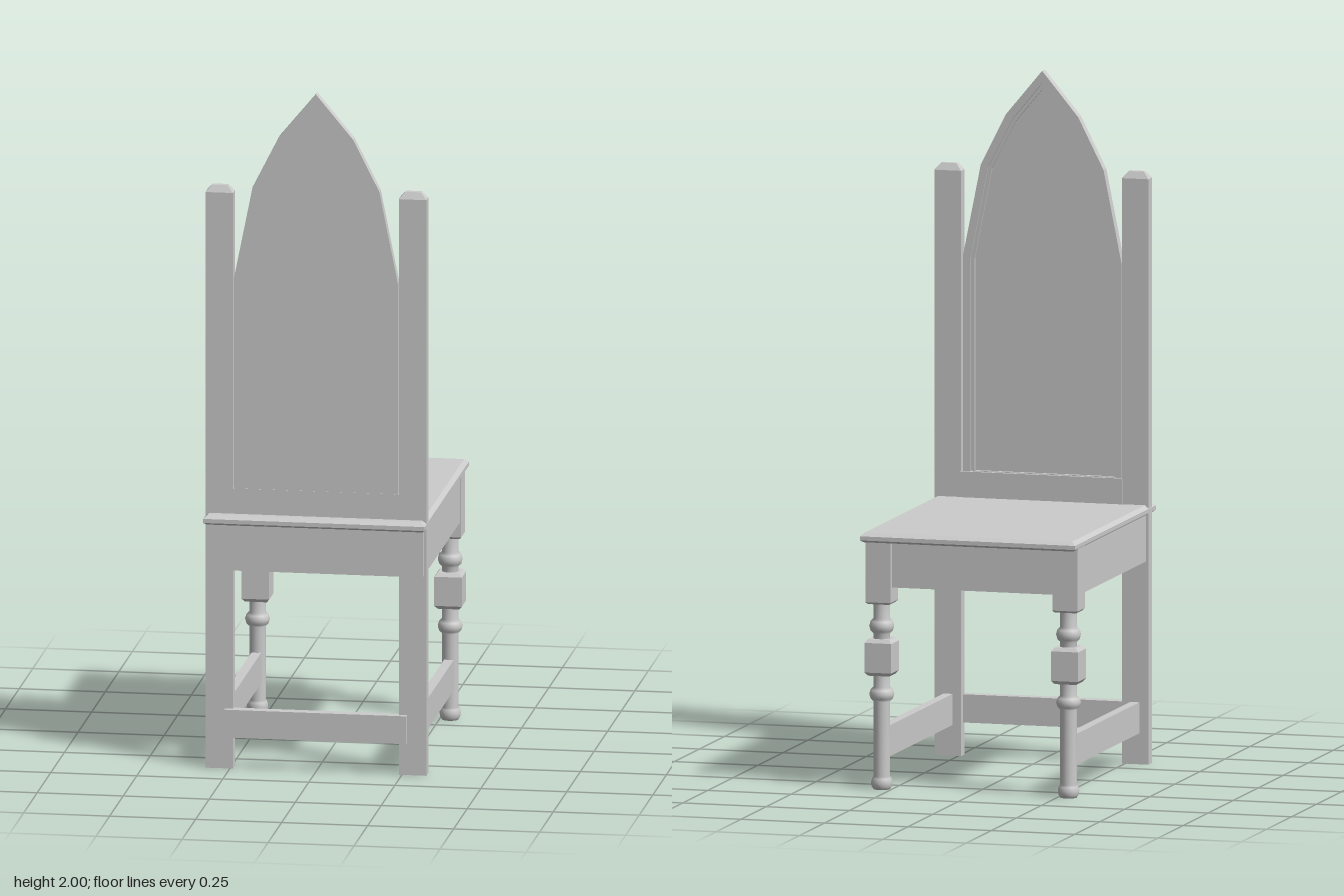
import * as THREE from 'three';
import { ConvexGeometry } from 'three/addons/geometries/ConvexGeometry.js';

const material = new THREE.MeshStandardMaterial({ color: 0xcccccc });

function add(parent, name, geometry, x = 0, y = 0, z = 0) {
  const mesh = new THREE.Mesh(geometry, material);
  mesh.name = name;
  mesh.position.set(x, y, z);
  parent.add(mesh);
  return mesh;
}

// Box given by its limits on each axis
function addBox(parent, name, [x0, x1], [y0, y1], [z0, z1]) {
  return add(parent, name, new THREE.BoxGeometry(x1 - x0, y1 - y0, z1 - z0),
    (x0 + x1) / 2, (y0 + y1) / 2, (z0 + z1) / 2);
}

// Chamfered solid from stacked rectangles: [y, half width, half depth]
function stackedBlock(levels) {
  const points = [];
  for (const [y, hx, hz] of levels)
    for (const sx of [-1, 1])
      for (const sz of [-1, 1]) points.push(new THREE.Vector3(sx * hx, y, sz * hz));
  return new ConvexGeometry(points);
}

// Pointed arch outline, inset by w from the outer edge
function archPoints(w, bottom) {
  const half = [
    [0.238 - w, bottom],
    [0.238 - w, 1.45 - 0.1 * w],
    [0.184 - 0.93 * w, 1.72 - 0.3 * w],
    [0.108 - 0.8 * w, 1.87 - 0.6 * w],
  ];
  const left = half.map(([x, y]) => [-x, y]).reverse();
  return [...half, [0, 2 - 1.55 * w], ...left].map(([x, y]) => new THREE.Vector2(x, y));
}

function archPlate(depth, holeInset) {
  const shape = new THREE.Shape(archPoints(0, 0.75));
  if (holeInset) shape.holes.push(new THREE.Path(archPoints(holeInset, 0.83)));
  return new THREE.ExtrudeGeometry(shape, { depth, bevelEnabled: false });
}

// Turned front leg, with square blocks at the top and in the middle
function frontLeg() {
  const leg = new THREE.Group();
  leg.name = 'frontLeg';
  const lower = [[0, 0], [0.024, 0], [0.029, 0.008], [0.031, 0.02], [0.028, 0.032], [0.024, 0.038],
    [0.024, 0.255], [0.032, 0.263], [0.036, 0.276], [0.032, 0.289], [0.024, 0.297], [0.024, 0.345]];
  const upper = [[0.024, 0.425], [0.024, 0.452], [0.032, 0.46], [0.036, 0.474], [0.032, 0.488],
    [0.024, 0.496], [0.024, 0.55]];
  const turn = (profile) => new THREE.LatheGeometry(profile.map(([r, y]) => new THREE.Vector2(r, y)), 20);
  add(leg, 'lowerShaft', turn(lower));
  add(leg, 'upperShaft', turn(upper));
  add(leg, 'middleBlock', stackedBlock([
    [0.332, 0.032, 0.032], [0.342, 0.04, 0.04], [0.428, 0.04, 0.04], [0.438, 0.032, 0.032]]));
  add(leg, 'topBlock', stackedBlock([
    [0.54, 0.032, 0.032], [0.546, 0.0375, 0.0375], [0.735, 0.0375, 0.0375]]));
  return leg;
}

export function createModel() {
  const chair = new THREE.Group();
  chair.name = 'chair';

  // Seat with a chamfered upper edge over a closed apron
  add(chair, 'seat', stackedBlock([
    [0.725, 0.314, 0.398], [0.731, 0.322, 0.406], [0.743, 0.322, 0.406], [0.753, 0.31, 0.394]]));
  addBox(chair, 'apron', [-0.314, 0.314], [0.59, 0.728], [-0.352, 0.39]);

  for (const side of [-1, 1]) {
    // Back post, running from the floor past the seat
    add(chair, 'backPost', stackedBlock([
      [0, 0.04, 0.018], [1.7, 0.04, 0.018], [1.72, 0.023, 0.008]]), side * 0.281, 0, 0.352);

    const leg = frontLeg();
    leg.position.set(side * 0.28, 0, -0.328);
    chair.add(leg);

    addBox(chair, 'sideStretcher', [side * 0.28 - 0.014, side * 0.28 + 0.014], [0.09, 0.18], [-0.325, 0.36]);
  }
  addBox(chair, 'backStretcher', [-0.265, 0.265], [0.095, 0.177], [0.355, 0.386]);

  // Pointed back: a plain panel with a stepped frame on the seat side
  add(chair, 'backPanel', archPlate(0.016), 0, 0, 0.353);
  add(chair, 'innerFrame', archPlate(0.006, 0.034), 0, 0, 0.347);
  add(chair, 'outerFrame', archPlate(0.006, 0.023), 0, 0, 0.341);
  addBox(chair, 'backRail', [-0.243, 0.243], [0.75, 0.828], [0.33, 0.37]);

  return chair;
}
